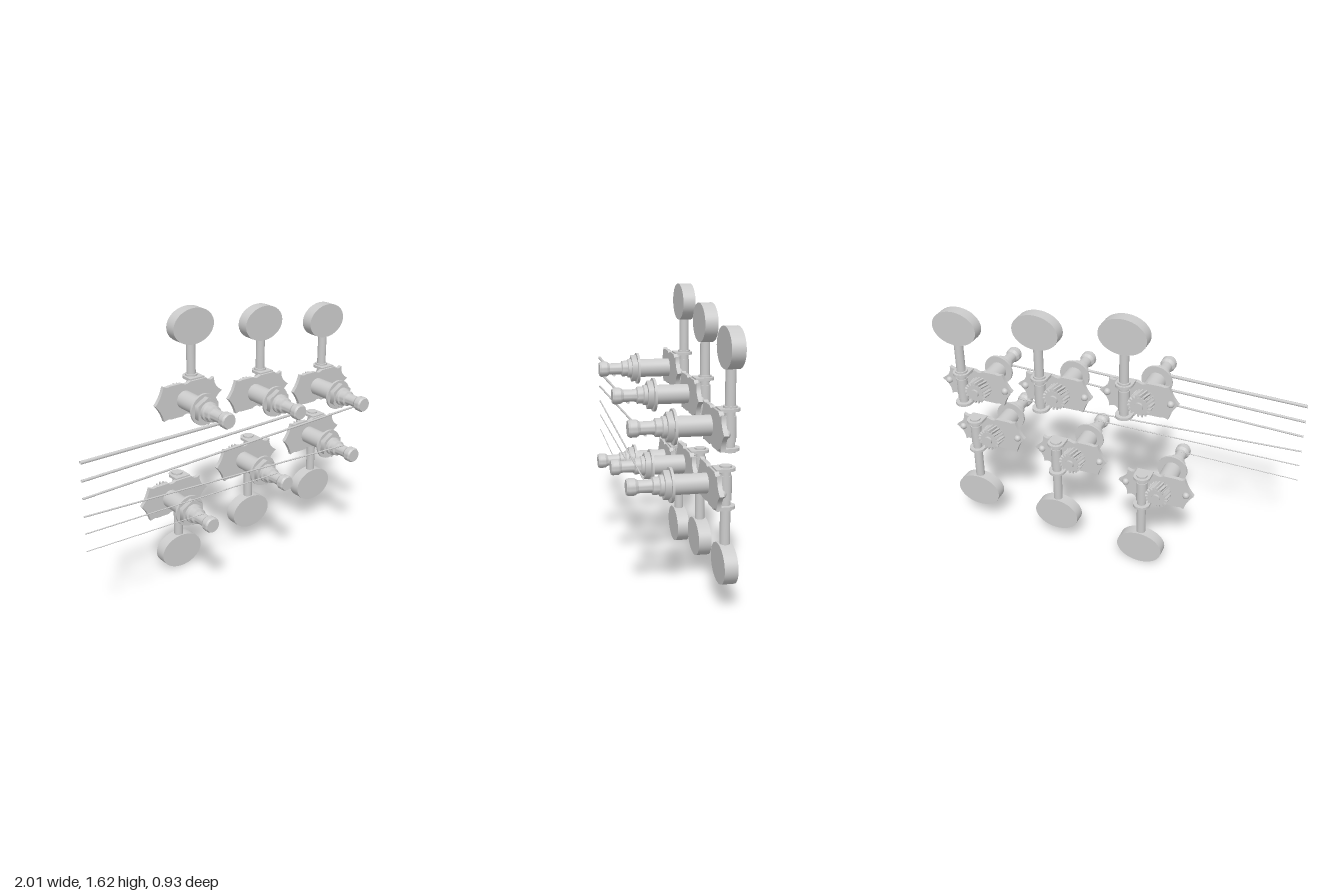
import * as THREE from 'three';
import { toCreasedNormals } from 'three/addons/utils/BufferGeometryUtils.js';

const TILT = 0.244; // headstock plane leans back about the y axis
const SHAFT_U = 0.07, SHAFT_W = -0.063; // key shaft, behind the plate
const POST_U = -0.03; // string post and gear axis

const grey = new THREE.MeshStandardMaterial({ color: 0xcccccc });

function add(group, name, geometry, x = 0, y = 0, z = 0) {
  const mesh = new THREE.Mesh(geometry, grey);
  mesh.name = name;
  mesh.position.set(x, y, z);
  group.add(mesh);
  return mesh;
}

// cylinder whose axis runs front to back
const disc = (r, depth, sides = 32) => new THREE.CylinderGeometry(r, r, depth, sides).rotateX(Math.PI / 2);

// mounting plate with horned, pointed ends
function plateGeometry() {
  const s = new THREE.Shape();
  s.moveTo(-0.23, 0);
  s.quadraticCurveTo(-0.19, 0.04, -0.172, 0.105);
  s.quadraticCurveTo(-0.15, 0.092, -0.13, 0.1);
  s.lineTo(-0.045, 0.1);
  s.quadraticCurveTo(-0.02, 0.08, 0.01, 0.1);
  s.lineTo(0.125, 0.1);
  s.quadraticCurveTo(0.145, 0.068, 0.18, 0.092);
  s.quadraticCurveTo(0.175, 0.035, 0.237, 0);
  s.quadraticCurveTo(0.175, -0.035, 0.18, -0.092);
  s.quadraticCurveTo(0.145, -0.068, 0.125, -0.1);
  s.lineTo(0.01, -0.1);
  s.quadraticCurveTo(-0.02, -0.08, -0.045, -0.1);
  s.lineTo(-0.13, -0.1);
  s.quadraticCurveTo(-0.15, -0.092, -0.172, -0.105);
  s.quadraticCurveTo(-0.19, -0.04, -0.23, 0);
  const g = new THREE.ExtrudeGeometry(s, { depth: 0.024, bevelEnabled: false, curveSegments: 8 });
  return toCreasedNormals(g.translate(0, 0, -0.012), 0.6);
}

// round-ended tab that carries the key shaft
function tabGeometry() {
  const s = new THREE.Shape();
  s.moveTo(-0.05, 0);
  s.lineTo(-0.05, SHAFT_W);
  s.absarc(0, SHAFT_W, 0.05, Math.PI, Math.PI * 2, false);
  s.lineTo(0.05, 0);
  s.closePath();
  const g = new THREE.ExtrudeGeometry(s, { depth: 0.016, bevelEnabled: false, curveSegments: 16 });
  return toCreasedNormals(g.translate(0, 0, -0.008).rotateX(Math.PI / 2), 0.6);
}

// toothed wheel, twisted a little along its depth
function gearGeometry(teeth = 18) {
  const pts = [];
  for (let i = 0; i < teeth; i++) {
    [[0, 0.052], [0.3, 0.052], [0.45, 0.069], [0.8, 0.069]].forEach(([f, r]) => {
      const a = ((i + f) / teeth) * Math.PI * 2;
      pts.push(new THREE.Vector2(r * Math.cos(a), r * Math.sin(a)));
    });
  }
  const depth = 0.075;
  const g = new THREE.ExtrudeGeometry(new THREE.Shape(pts), { depth, steps: 2, bevelEnabled: false });
  const p = g.attributes.position;
  for (let i = 0; i < p.count; i++) {
    const a = (p.getZ(i) / depth) * 0.25, x = p.getX(i), y = p.getY(i);
    p.setXY(i, x * Math.cos(a) - y * Math.sin(a), x * Math.sin(a) + y * Math.cos(a));
  }
  return toCreasedNormals(g, 0.3);
}

// bushing, sleeve, waist and flared tip of the string post
function postGeometry() {
  const profile = [
    [0, 0], [0.054, 0], [0.054, 0.21], [0.056, 0.24], [0.056, 0.262], [0.047, 0.268], [0.047, 0.298],
    [0.036, 0.304], [0.034, 0.325], [0.034, 0.375], [0.045, 0.392], [0.046, 0.425], [0.04, 0.436], [0, 0.436],
  ].map(([r, h]) => new THREE.Vector2(r, h));
  return toCreasedNormals(new THREE.LatheGeometry(profile, 32).rotateX(Math.PI / 2), 0.5);
}

const shared = { plate: plateGeometry(), tab: tabGeometry(), gear: gearGeometry(), post: postGeometry() };

// one tuner; dir = 1 has its key above, -1 below
function createTuner(dir) {
  const t = new THREE.Group();
  t.name = dir > 0 ? 'upperTuner' : 'lowerTuner';
  add(t, 'plate', shared.plate);
  add(t, 'post', shared.post, POST_U);
  add(t, 'washer', disc(0.093, 0.014), POST_U, 0, 0.204);
  add(t, 'hexNut', disc(0.08, 0.032, 6), POST_U, 0, 0.227);
  add(t, 'gear', shared.gear, POST_U, 0, -0.098);
  add(t, 'gearScrew', disc(0.026, 0.014, 20), POST_U, 0, -0.104);
  for (const u of [-0.185, 0.19]) {
    add(t, 'plateScrew', new THREE.SphereGeometry(0.021, 16, 6, 0, Math.PI * 2, 0, Math.PI / 2)
      .rotateX(-Math.PI / 2), u, 0, -0.012);
  }
  for (const side of [-1, 1]) add(t, 'tab', shared.tab, SHAFT_U, side * 0.1, 0);

  // shaft, worm and collars
  const rod = (name, r, from, to) => add(t, name,
    new THREE.CylinderGeometry(r, r, to - from, 24), SHAFT_U, dir * (from + to) / 2, SHAFT_W);
  rod('shaft', 0.027, -0.11, 0.32);
  rod('shaftCap', 0.032, -0.118, -0.1);
  rod('shaftCollar', 0.036, 0.1, 0.118);
  rod('worm', 0.032, -0.065, 0.065);

  // oval key button
  const key = add(t, 'keyButton', disc(1, 0.072, 48), SHAFT_U, dir * 0.406, SHAFT_W);
  key.scale.set(0.14, 0.106, 1);
  return t;
}

export function createModel() {
  const model = new THREE.Group();
  model.name = 'tuningMachines';

  // plate centre x, y, key direction, string start y, string end y, string radius
  const tuners = [
    [-0.225, 1.113, 1, 1.065, 1.075, 0.0095],
    [0.275, 1.04, 1, 0.963, 1.0, 0.0075],
    [0.773, 0.967, 1, 0.863, 0.928, 0.006],
    [0.712, 0.647, -1, 0.76, 0.686, 0.0045],
    [0.19, 0.613, -1, 0.66, 0.65, 0.0033],
    [-0.337, 0.515, -1, 0.556, 0.553, 0.0025],
  ];
  for (const [x, y, dir, startY, endY, r] of tuners) {
    const tuner = createTuner(dir);
    tuner.position.set(x, y, -0.131 - 0.249 * x);
    tuner.rotation.y = TILT;
    model.add(tuner);

    // string running to the waist of its post
    const end = new THREE.Vector3(POST_U, 0, 0.345).applyEuler(tuner.rotation).add(tuner.position).setY(endY);
    const start = new THREE.Vector3(-1, startY, 0.447);
    const path = new THREE.LineCurve3(start, end);
    add(model, 'string', new THREE.TubeGeometry(path, 1, r, 10)).material = stringMaterial;
  }
  return model;
}

// strings are open tubes
const stringMaterial = new THREE.MeshStandardMaterial({ color: 0xcccccc, side: THREE.DoubleSide });
